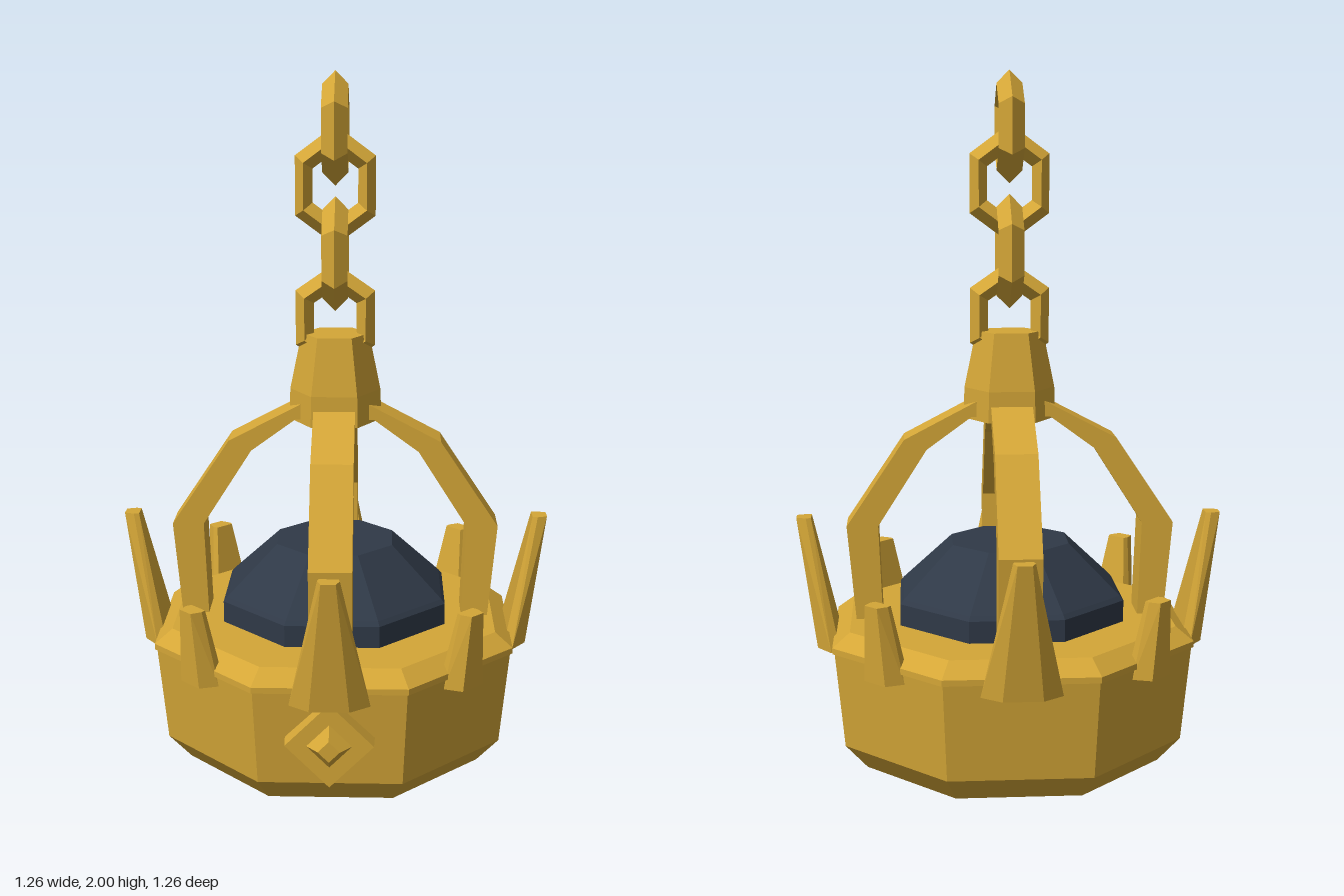
import * as THREE from 'three';
import { ConvexGeometry } from 'three/addons/geometries/ConvexGeometry.js';

const gold = new THREE.MeshStandardMaterial({ color: 0xd4a637 });
gold.name = 'gold';
const slate = new THREE.MeshStandardMaterial({ color: 0x2f3947 });
slate.name = 'dark slate';

// Faceted mesh: every face gets its own normals
function facet(name, geometry, material = gold) {
  const g = geometry.index ? geometry.toNonIndexed() : geometry;
  g.computeVertexNormals();
  const mesh = new THREE.Mesh(g, material);
  mesh.name = name;
  return mesh;
}

// Turned solid; profile is [distance, y] from bottom to top
function turned(profile, sides, offset, toFlat) {
  const k = toFlat ? 1 / Math.cos(Math.PI / sides) : 1;
  const pts = profile.map(([r, y]) => new THREE.Vector2(r * k, y));
  return new THREE.LatheGeometry(pts, sides, offset);
}

// Crown spike pointing up and outward along +x
// levels: [y, back, side, front, backHalf, sideHalf, frontHalf]
function spike(levels) {
  const pts = [];
  for (const [y, back, side, front, wb, ws, wf] of levels) {
    for (const s of [-1, 1]) {
      pts.push(new THREE.Vector3(back, y, s * wb), new THREE.Vector3(side, y, s * ws), new THREE.Vector3(front, y, s * wf));
    }
  }
  return new ConvexGeometry(pts);
}

export function createModel() {
  const model = new THREE.Group();
  model.name = 'hangingLantern';

  // Octagonal bowl and its bevelled rim
  model.add(facet('bowl', turned(
    [[0, 0], [0.425, 0], [0.487, 0.075], [0.514, 0.36], [0, 0.36]], 8, Math.PI / 8, true)));
  model.add(facet('rim', turned(
    [[0, 0.355], [0.52, 0.355], [0.52, 0.372], [0.47, 0.412], [0, 0.412]], 8, Math.PI / 8, true)));

  // Dark dome inside
  model.add(facet('dome', turned(
    [[0.325, 0.4], [0.325, 0.475], [0.315, 0.488], [0.17, 0.633], [0, 0.633]], 8, Math.PI / 8, true), slate));

  // Four bent arms rising from the rim to the cap
  const outline = [[0.375, 0.36], [0.45, 0.36], [0.48, 0.69], [0.31, 0.945], [0.1, 1.055],
    [0.06, 1.055], [0.06, 1.01], [0.115, 1.01], [0.245, 0.915], [0.388, 0.69]];
  const armShape = new THREE.Shape(outline.map(([x, y]) => new THREE.Vector2(x, y)));
  const armGeometry = new THREE.ExtrudeGeometry(armShape, { depth: 0.12, bevelEnabled: false });
  armGeometry.translate(0, 0, -0.06);

  // Large spikes on the axes, small ones on the diagonals
  const largeSpike = spike([
    [0.325, 0.502, 0.528, 0.57, 0.1, 0.112, 0.055],
    [0.71, 0.585, 0.6, 0.628, 0.026, 0.03, 0.02],
  ]);
  const smallSpike = spike([
    [0.325, 0.485, 0.51, 0.56, 0.06, 0.066, 0.04],
    [0.545, 0.525, 0.54, 0.572, 0.03, 0.034, 0.024],
  ]);
  for (let i = 0; i < 4; i++) {
    const angle = i * Math.PI / 2;
    const arm = facet('arm', armGeometry);
    const large = facet('largeSpike', largeSpike);
    const small = facet('smallSpike', smallSpike);
    arm.rotation.y = large.rotation.y = angle;
    small.rotation.y = angle + Math.PI / 4;
    model.add(arm, large, small);
  }

  // Six-sided cap where the arms meet
  model.add(facet('cap', turned(
    [[0, 1.0], [0.135, 1.0], [0.132, 1.09], [0.098, 1.255], [0, 1.255]], 6, Math.PI / 6, false)));

  // Diamond ornament on the front: plate, then a blunt pyramid
  const ornament = new THREE.Group();
  ornament.name = 'frontOrnament';
  for (const [name, rTop, rBase, z0, z1] of [
    ['ornamentPlate', 0.122, 0.125, 0.47, 0.558],
    ['ornamentStud', 0.03, 0.065, 0.555, 0.595],
  ]) {
    const g = new THREE.CylinderGeometry(rTop, rBase, z1 - z0, 4);
    g.rotateX(Math.PI / 2);
    g.translate(0, 0.22, (z0 + z1) / 2);
    ornament.add(facet(name, g));
  }
  model.add(ornament);

  // Hexagonal chain links, alternately turned a quarter
  const chain = new THREE.Group();
  chain.name = 'chain';
  for (const [y, height, halfWidth, turn] of [
    [1.84, 0.32, 0.13, 1], [1.68, 0.34, 0.115, 0],
    [1.485, 0.33, 0.115, 1], [1.3, 0.32, 0.115, 0],
  ]) {
    const g = new THREE.TorusGeometry(height / 2 - 0.037, 0.037, 4, 6);
    g.rotateZ(Math.PI / 2);
    g.scale(halfWidth / (height / 2 * Math.cos(Math.PI / 6)), 1, 1);
    const link = facet('chainLink', g);
    link.position.y = y;
    link.rotation.y = turn * Math.PI / 2;
    chain.add(link);
  }
  model.add(chain);

  return model;
}
